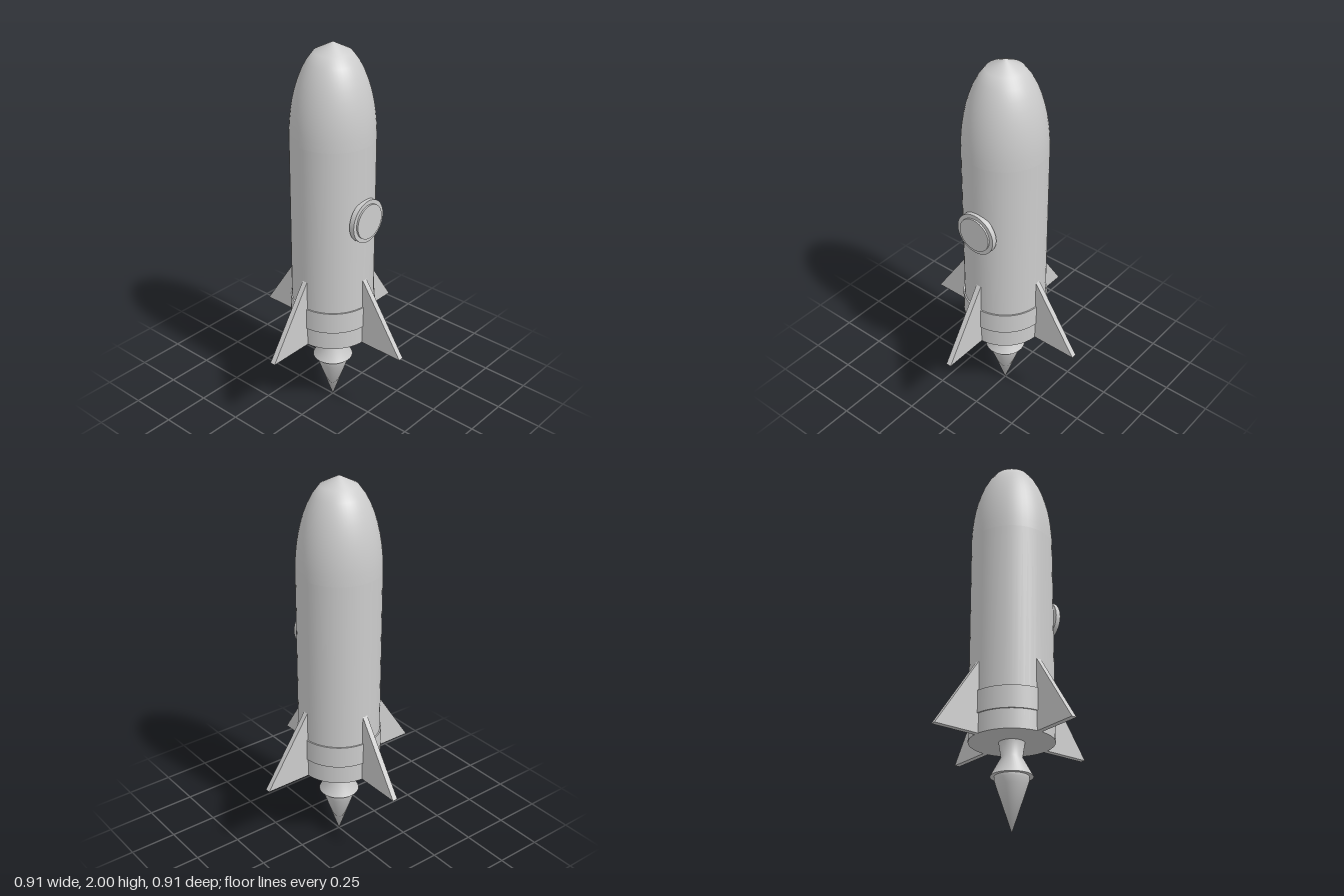
import * as THREE from 'three';
import { mergeVertices } from 'three/addons/utils/BufferGeometryUtils.js';

const SIDES = 48;

export function createModel() {
  const root = new THREE.Group();
  root.name = 'rocket';
  const grey = new THREE.MeshStandardMaterial({ color: 0xcccccc });
  grey.name = 'plain grey';

  const add = (name, geometry) => {
    const mesh = new THREE.Mesh(geometry, grey);
    mesh.name = name;
    root.add(mesh);
    return mesh;
  };
  // Profile runs from bottom to top as [radius, height]
  const lathe = (profile) =>
    new THREE.LatheGeometry(profile.map(([r, y]) => new THREE.Vector2(r, y)), SIDES);
  const cylinder = (r, y0, y1) =>
    new THREE.CylinderGeometry(r, r, y1 - y0, SIDES).translate(0, (y0 + y1) / 2, 0);

  // Hull and rounded nose
  add('hull', cylinder(0.212, 0.44, 1.53));
  const nose = [];
  for (let i = 0; i <= 10; i++) {
    const t = i / 10;
    nose.push([0.212 * Math.sqrt(1 - t * t), 1.53 + 0.47 * t]);
  }
  add('nose', lathe(nose));

  // Raised band around the fins
  add('band', cylinder(0.219, 0.54, 0.655));

  // Round window on the front
  const disc = (name, r, z0, z1) =>
    add(name, cylinder(r, z0, z1).rotateX(Math.PI / 2)).position.y = 1.147;
  disc('windowFrame', 0.111, 0.203, 0.23);
  disc('windowPane', 0.09, 0.21, 0.239);

  // Engine nozzle, with its mouth closed, split at the sharp rim
  add('nozzle', lathe([[0.105, 0.27], [0.053, 0.365], [0.064, 0.44]]));
  add('nozzleMouth', new THREE.CircleGeometry(0.105, SIDES).rotateX(Math.PI / 2).translate(0, 0.27, 0));

  // Flame, with shared vertices so that its shading is soft to the tip
  const flame = lathe([[0, 0], [0.076, 0.225], [0.085, 0.255], [0.085, 0.27]]);
  flame.deleteAttribute('normal');
  flame.deleteAttribute('uv');
  const softFlame = mergeVertices(flame, 1e-5);
  softFlame.computeVertexNormals();
  add('flame', softFlame);

  // Four fins
  const outline = new THREE.Shape([
    new THREE.Vector2(0.19, 0.44),
    new THREE.Vector2(0.457, 0.44),
    new THREE.Vector2(0.21, 0.812),
    new THREE.Vector2(0.19, 0.812),
  ]);
  const finGeometry = new THREE.ExtrudeGeometry(outline, { depth: 0.028, bevelEnabled: false });
  finGeometry.translate(0, 0, -0.014);
  ['leftFin', 'backFin', 'rightFin', 'frontFin'].forEach((name, i) => {
    add(name, finGeometry).rotation.y = i * Math.PI / 2;
  });

  return root;
}
